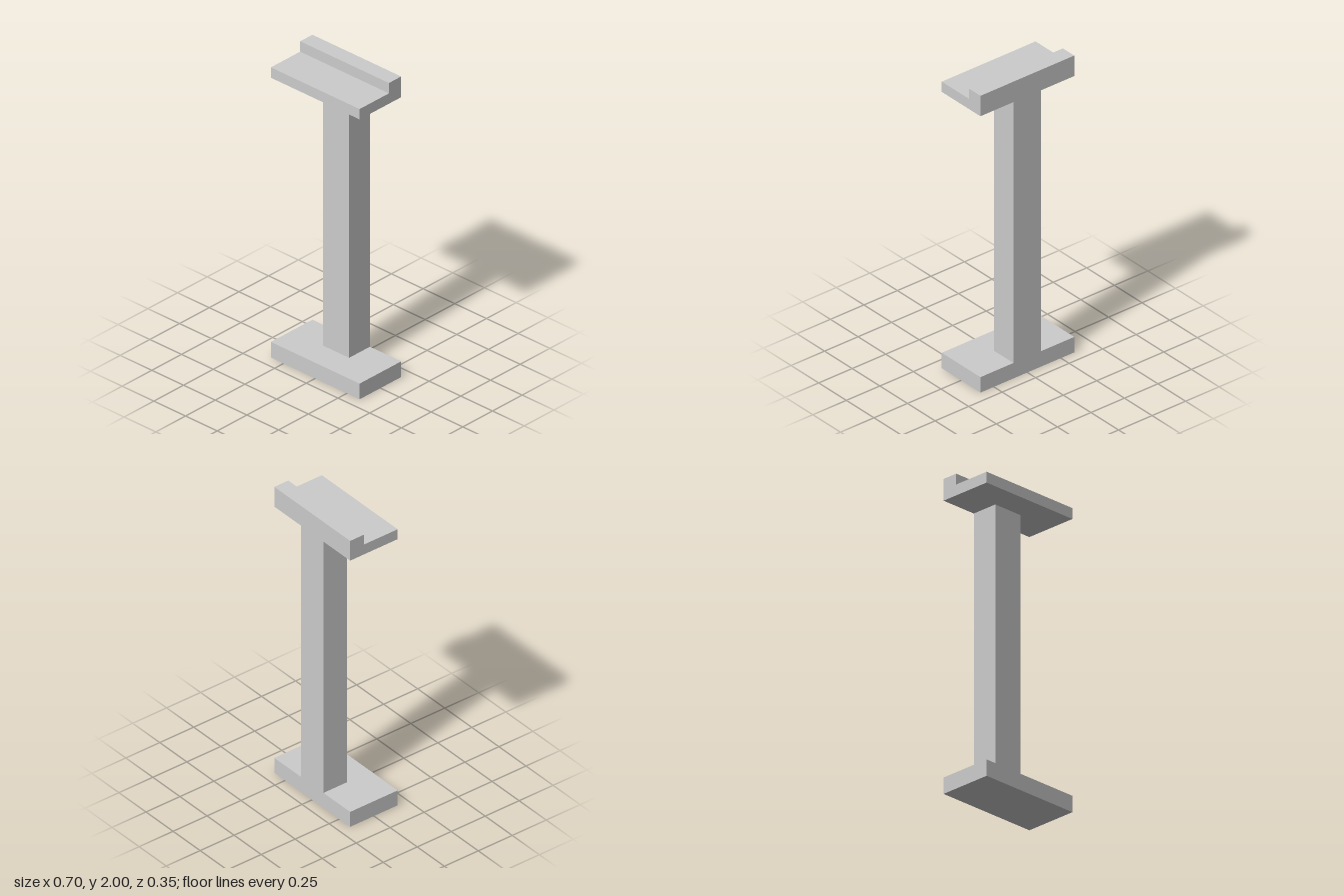
import * as THREE from 'three';

const WIDTH = 0.7, BACK = -0.175, FRONT = 0.175;
const BASE_TOP = 0.104, CAP_BOTTOM = 1.862, SHELF_TOP = 1.931, TOP = 2;
const POST_WIDTH = 0.207, POST_FRONT = 0, LIP_FRONT = -0.072;

export function createModel() {
  const group = new THREE.Group();
  const material = new THREE.MeshStandardMaterial({ color: 0xcccccc, flatShading: true });

  const add = (name, geometry) => {
    const mesh = new THREE.Mesh(geometry, material);
    mesh.name = name;
    group.add(mesh);
  };
  // Box centred on x, given its bottom, top, back and front
  const slab = (width, y0, y1, z0, z1) =>
    new THREE.BoxGeometry(width, y1 - y0, z1 - z0).translate(0, (y0 + y1) / 2, (z0 + z1) / 2);

  // Flat foot, and a post standing flush with its back edge
  add('base', slab(WIDTH, 0, BASE_TOP, BACK, FRONT));
  add('post', slab(POST_WIDTH, BASE_TOP, CAP_BOTTOM, BACK, POST_FRONT));

  // Top shelf with a raised lip along the back: side profile (-z, y) extruded across x
  const profile = new THREE.Shape([
    [-FRONT, CAP_BOTTOM], [-BACK, CAP_BOTTOM], [-BACK, TOP],
    [-LIP_FRONT, TOP], [-LIP_FRONT, SHELF_TOP], [-FRONT, SHELF_TOP],
  ].map(([x, y]) => new THREE.Vector2(x, y)));
  const cap = new THREE.ExtrudeGeometry(profile, { depth: WIDTH, bevelEnabled: false });
  add('steppedShelf', cap.translate(0, 0, -WIDTH / 2).rotateY(Math.PI / 2));

  return group;
}
